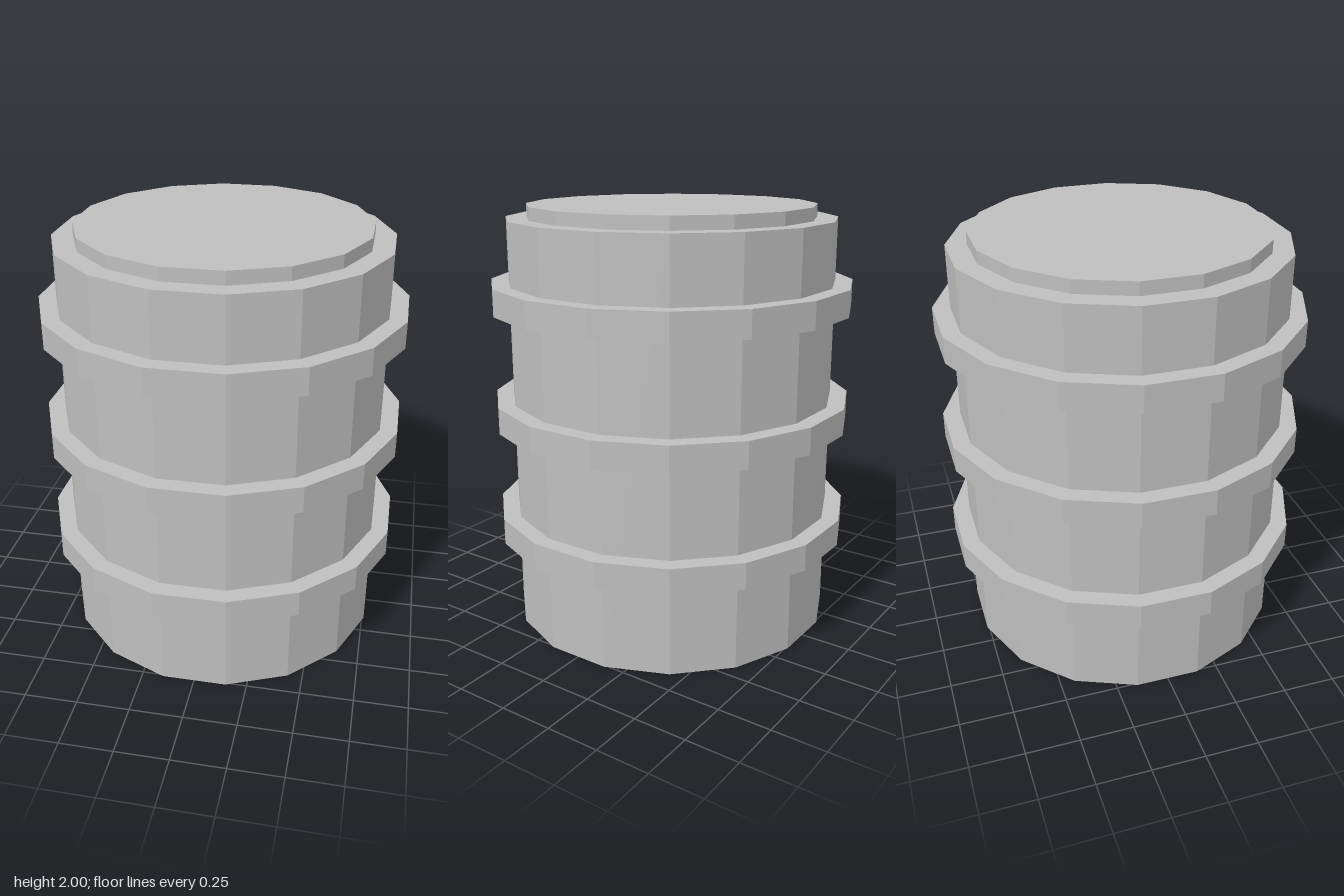
import * as THREE from 'three';

const SIDES = 16;

export function createModel() {
  const model = new THREE.Group();
  model.name = 'barrel';
  const grey = new THREE.MeshStandardMaterial({ color: 0xbebebe, flatShading: true });
  grey.name = 'grey metal';

  // Sixteen-sided drum section; apothem is the distance from axis to flat
  const drum = (name, apothem, bottom, top) => {
    const radius = apothem / Math.cos(Math.PI / SIDES);
    const geometry = new THREE.CylinderGeometry(
      radius, radius, top - bottom, SIDES, 1, false, Math.PI / SIDES);
    const mesh = new THREE.Mesh(geometry, grey);
    mesh.name = name;
    mesh.position.y = (bottom + top) / 2;
    model.add(mesh);
  };

  // Main wall and raised lid
  drum('body', 0.76, 0, 1.94);
  drum('lid', 0.664, 1.94, 2);

  // Three raised hoops
  const hoops = { lowerHoop: 0.427, middleHoop: 0.975, upperHoop: 1.523 };
  for (const [name, bottom] of Object.entries(hoops)) {
    drum(name, 0.84, bottom, bottom + 0.125);
  }

  return model;
}
